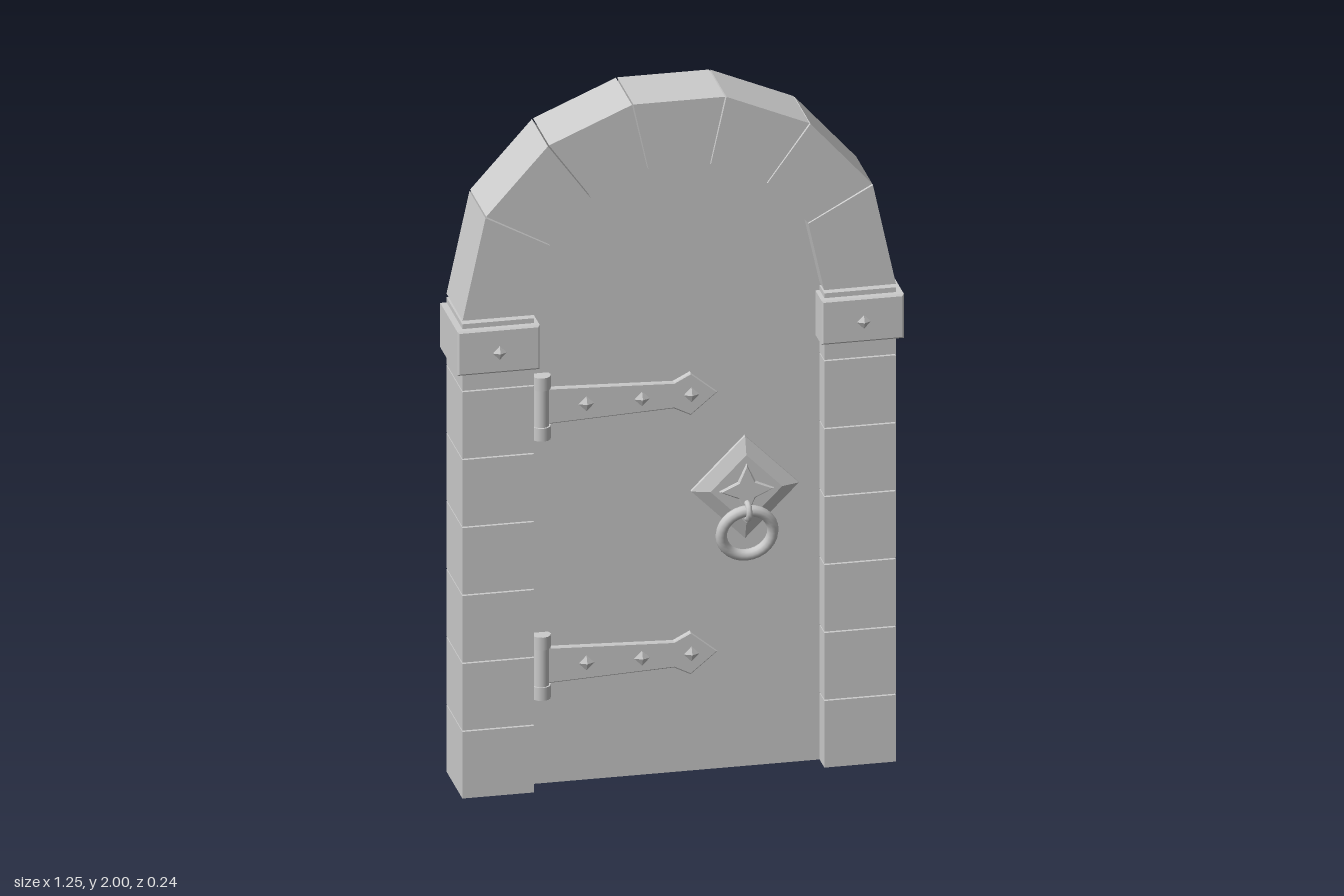
import * as THREE from 'three';

const FRONT = 0.08, BACK = -0.12, DEPTH = FRONT - BACK, DOOR_FRONT = 0.02;
const flat = new THREE.MeshStandardMaterial({ color: 0xcccccc, flatShading: true });
const smooth = new THREE.MeshStandardMaterial({ color: 0xcccccc });

function add(parent, name, geometry, x = 0, y = 0, z = 0, material = flat) {
  const mesh = new THREE.Mesh(geometry, material);
  mesh.name = name;
  mesh.position.set(x, y, z);
  parent.add(mesh);
  return mesh;
}

const shapeOf = (pts) => new THREE.Shape(pts.map(([x, y]) => new THREE.Vector2(x, y)));

// Extrusion from z = 0 to z = depth, optionally with a chamfer on the front and back rims
function slab(pts, depth, bevel = 0) {
  const g = new THREE.ExtrudeGeometry(shapeOf(pts), {
    depth: depth - 2 * bevel, bevelEnabled: bevel > 0, bevelSize: bevel,
    bevelThickness: bevel, bevelOffset: -bevel, bevelSegments: 1, steps: 1,
  });
  return g.translate(0, 0, bevel);
}

const rect = (w, h) => [[-w / 2, -h / 2], [w / 2, -h / 2], [w / 2, h / 2], [-w / 2, h / 2]];

// Four-sided pointed nail head facing +z
function stud(parent, x, y, z, r = 0.02) {
  add(parent, 'stud', new THREE.ConeGeometry(r, 0.011, 4).rotateX(Math.PI / 2), x, y, z + 0.007);
  add(parent, 'studRim', new THREE.CylinderGeometry(r, r * 0.8, 0.003, 4).rotateX(Math.PI / 2), x, y, z);
}

// Right half of the arch, from the spring line up to the keystone
const outerHalf = [[0.605, 1.404], [0.54, 1.705], [0.365, 1.9], [0.13, 2]];
const innerHalf = [[0.405, 1.404], [0.36, 1.607], [0.245, 1.735], [0.087, 1.805]];
const mirrored = (half) => [...half, ...half.slice().reverse().map(([x, y]) => [-x, y])];

function createArch() {
  const arch = new THREE.Group();
  arch.name = 'arch';
  const outer = mirrored(outerHalf), inner = mirrored(innerHalf);
  const mix = (a, b, t) => [a[0] + (b[0] - a[0]) * t, a[1] + (b[1] - a[1]) * t];
  for (let i = 0; i < outer.length - 1; i++) {
    const t = 0.008; // narrow joint between stones
    add(arch, 'archStone', slab([
      mix(inner[i], inner[i + 1], t), mix(outer[i], outer[i + 1], t),
      mix(outer[i], outer[i + 1], 1 - t), mix(inner[i], inner[i + 1], 1 - t),
    ], DEPTH), 0, 0, BACK);
  }
  return arch;
}

function createPillar(side) {
  const pillar = new THREE.Group();
  pillar.name = side > 0 ? 'leftPillar' : 'rightPillar';
  for (let i = 0; i < 7; i++) {
    add(pillar, 'pillarStone', new THREE.BoxGeometry(0.2, 0.196, DEPTH),
      side * 0.505, i * 0.2 + 0.098, (FRONT + BACK) / 2);
  }
  // Capital block wrapping the pillar, with its nail
  add(pillar, 'capital', slab(rect(0.23, 0.13), 0.222, 0.005), side * 0.508, 1.317, BACK - 0.001);
  stud(pillar, side * 0.508, 1.316, 0.111);
  return pillar;
}

function createHinge(y) {
  const hinge = new THREE.Group();
  hinge.name = 'hinge';
  hinge.position.set(0, y, DOOR_FRONT);
  // Tapered strap with an arrow-shaped end
  const edge = [[-0.37, 0.053], [-0.005, 0.038], [0.042, 0.062]];
  const strap = [...edge.map(([x, h]) => [x, -h]), [0.117, 0], ...edge.slice().reverse()];
  add(hinge, 'strap', slab(strap, 0.018, 0.003));
  // Barrel with collars
  add(hinge, 'barrel', new THREE.CylinderGeometry(0.022, 0.022, 0.18, 12), -0.375, 0, 0.014, smooth);
  for (const s of [-1, 1]) {
    add(hinge, 'collar', new THREE.CylinderGeometry(0.027, 0.027, 0.038, 12), -0.375, s * 0.074, 0.014, smooth);
  }
  for (const x of [-0.25, -0.095, 0.043]) stud(hinge, x, 0, 0.02, 0.022);
  return hinge;
}

function createKnocker() {
  const knocker = new THREE.Group();
  knocker.name = 'knocker';
  knocker.position.set(0.195, 0.825, DOOR_FRONT);
  // Diamond plate with wide chamfered rim
  const diamond = [[0.15, 0], [0, 0.15], [-0.15, 0], [0, -0.15]];
  add(knocker, 'plateBase', slab(diamond, 0.01));
  const face = new THREE.CylinderGeometry(0.1, 0.15, 0.016, 4).rotateX(Math.PI / 2);
  add(knocker, 'plateFace', face, 0, 0, 0.018);
  // Raised four-pointed star
  const star = [];
  for (let i = 0; i < 8; i++) {
    const r = i % 2 ? 0.034 : 0.076, a = i * Math.PI / 4;
    star.push([r * Math.cos(a), r * Math.sin(a)]);
  }
  add(knocker, 'star', slab(star, 0.014, 0.004), 0, 0, 0.022);
  // Eye holding the ring
  add(knocker, 'eye', new THREE.TorusGeometry(0.022, 0.009, 8, 16).rotateY(Math.PI / 2), 0, -0.058, 0.04, smooth);
  // Ring hanging with its lower rim towards the door
  const ring = add(knocker, 'ring', new THREE.TorusGeometry(0.072, 0.016, 10, 28), 0, -0.125, 0.034, smooth);
  ring.rotation.x = 0.2;
  return knocker;
}

export function createModel() {
  const door = new THREE.Group();
  door.name = 'archedDoor';

  // Recessed door leaf, tucked slightly behind the stones
  const outline = mirrored([[0.41, 0], [0.41, 1.405], ...innerHalf.slice(1).map(([x, y]) => [x + 0.004, y + 0.004])]);
  add(door, 'doorLeaf', slab(outline, 0.055), 0, 0, DOOR_FRONT - 0.055);

  door.add(createArch(), createPillar(1), createPillar(-1));
  door.add(createHinge(1.115), createHinge(0.352), createKnocker());
  return door;
}
